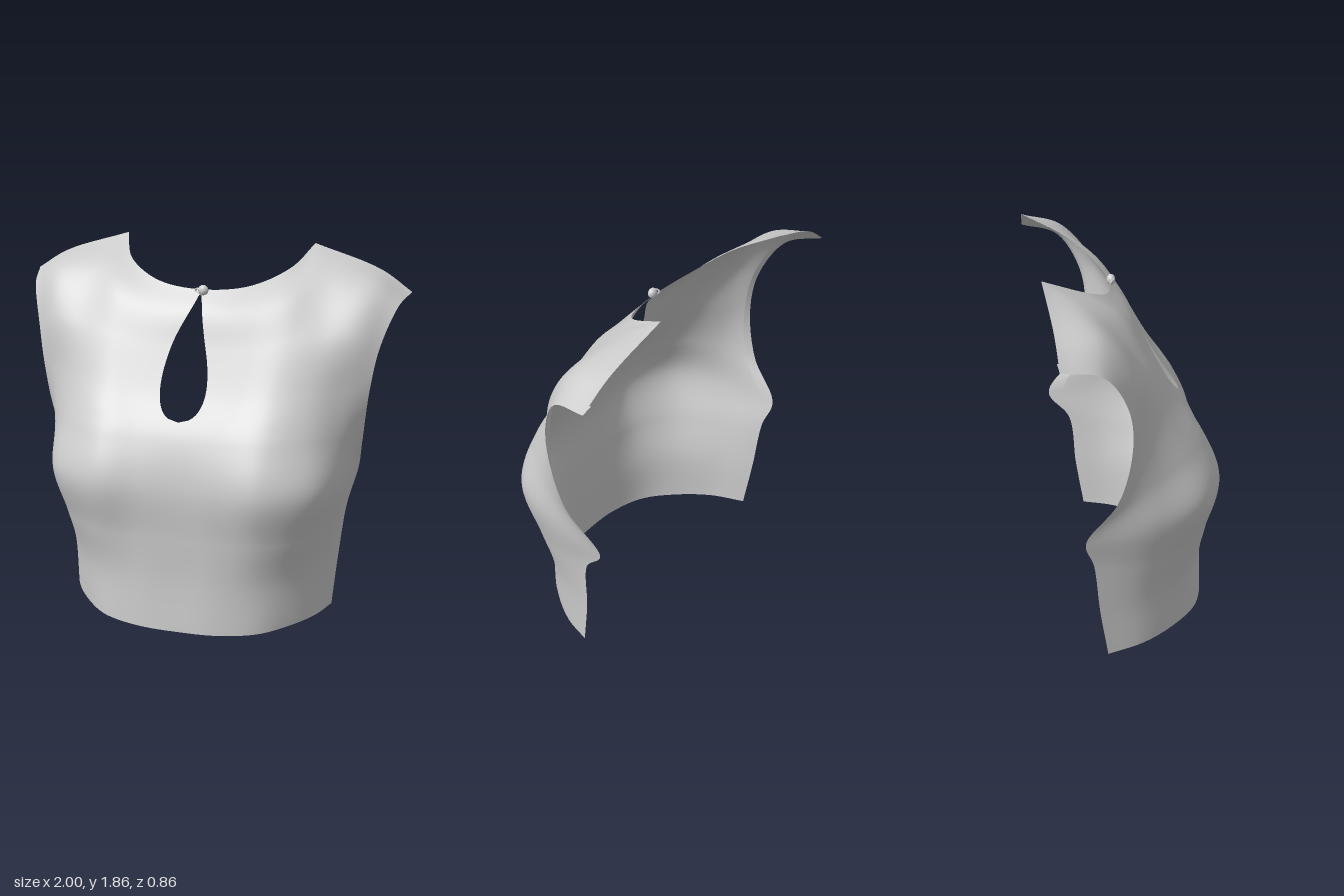
import * as THREE from 'three';
import { mergeVertices } from 'three/addons/utils/BufferGeometryUtils.js';

const V = (x, y, z) => new THREE.Vector3(x, y, z);
const { smoothstep } = THREE.MathUtils;

// Guide lines running hem to top, from the centre front out to the side edge
const centre = [[0, 0, .405], [0, .27, .39], [0, .5, .395], [0, .77, .4], [0, 1, .335],
  [0, 1.2, .205], [0, 1.4, .1], [0, 1.56, .025], [0, 1.66, -.06]];
const inner = [[.2, 0, .392], [.2, .27, .383], [.2, .5, .393], [.2, .77, .41], [.2, 1, .335],
  [.22, 1.2, .205], [.25, 1.41, .09], [.26, 1.57, .003], [.23, 1.68, -.1]];
const bust = [[.39, 0, .325], [.39, .27, .325], [.41, .5, .365], [.41, .77, .422], [.42, 1, .335],
  [.42, 1.22, .19], [.44, 1.45, .06], [.44, 1.63, -.06], [.41, 1.755, -.22]];
const outer = [[.525, 0, .2], [.55, .27, .2], [.595, .5, .245], [.645, .77, .295], [.61, 1, .23],
  [.595, 1.23, .125], [.61, 1.48, .005], [.59, 1.7, -.175], [.5, 1.85, -.425]];
const flank = [[.64, 0, .04], [.66, .27, .03], [.7, .5, .045], [.75, .75, .06], [.74, .97, .06],
  [.745, 1.22, .015], [.785, 1.48, -.04], [.825, 1.685, -.2], [.84, 1.738, -.405]];
const edge = [[.7, 0, -.11], [.72, .27, -.15], [.75, .55, -.18], [.785, .7, -.29], [.82, .92, -.125],
  [.85, 1.2, -.065], [.885, 1.41, -.09], [.95, 1.59, -.205], [1, 1.635, -.39]];
const guides = [centre, inner, bust, outer, flank, edge];

// The right half is slightly fuller and its edge sits further back
function mirrored(points, s) {
  return points.map(([x, y, z]) => [
    -x * (1 + .05 * (1 - y / 1.66)),
    y + .02 * s * smoothstep(y, 1.55, 1.65),
    z - (y < .6 ? .07 : y > .8 ? .02 : 0) * s ** 4,
  ]);
}

// Half width of the teardrop opening at a height
function keyhole(y) {
  const u = (y - 1.08) / .58;
  return u > 0 && u < 1 ? .295 * u ** .42 * (1 - u) ** 1.2 : 0;
}

// Cross-section through 11 guide points; towards the top the shoulders
// separate from the neckline, which leaves a crisp corner between them
function crossSection(points, t) {
  const curve = p => new THREE.CatmullRomCurve3(p);
  const whole = curve(points), neck = curve(points.slice(2, 9));
  const right = curve(points.slice(0, 3)), left = curve(points.slice(8));
  const split = smoothstep(t, .88, 1);
  return s => {
    const u = (s + 1) * 5;
    const sharp = u < 2 ? right.getPoint(u / 2)
      : u > 8 ? left.getPoint((u - 8) / 2) : neck.getPoint((u - 2) / 6);
    return whole.getPoint(u / 10).lerp(sharp, split);
  };
}

// Surface from equal rows of points
function sheet(rows) {
  const n = rows[0].length, index = [];
  for (let i = 0; i < rows.length - 1; i++)
    for (let j = 0; j < n - 1; j++) {
      if (rows[i][j].seam && rows[i][j + 1].seam) continue; // centre opening
      const a = i * n + j, b = a + n;
      index.push(a, a + 1, b + 1, a, b + 1, b);
    }
  let g = new THREE.BufferGeometry().setFromPoints(rows.flat());
  g.setIndex(index);
  g = mergeVertices(g, 1e-5);
  g.computeVertexNormals();
  return g;
}

function bodiceRows() {
  const columns = [
    ...guides.slice(1).map((p, k) => mirrored(p, (k + 1) / 5)).reverse(), ...guides,
  ].map(p => new THREE.CatmullRomCurve3(p.map(q => V(...q))));
  const ROWS = 128, HALF = 40, rows = [];
  for (let i = 0; i <= ROWS; i++) {
    const t = i / ROWS, section = crossSection(columns.map(c => c.getPoint(t)), t);
    const row = [];
    for (const side of [-1, 1])
      for (let k = 0; k <= HALF; k++) {
        const s = side < 0 ? 1 - k / HALF : k / HALF;
        const p = section(side * s);
        const fade = Math.max(0, 1 - s / .6) ** 2;
        const drift = .025 * smoothstep(p.y, .7, 1.08) * (1 - smoothstep(p.y, 1.4, 1.66));
        p.x += (side * keyhole(p.y) - drift) * fade;
        p.seam = s === 0;
        row.push(p);
      }
    rows.push(row);
  }
  return rows;
}

export function createModel() {
  const group = new THREE.Group();
  const cloth = new THREE.MeshStandardMaterial({ color: 0xcccccc, side: THREE.DoubleSide });
  const add = (name, geometry) => {
    const m = new THREE.Mesh(geometry, cloth);
    m.name = name;
    group.add(m);
    return m;
  };

  // Main cloth panel
  const rows = bodiceRows();
  add('bodiceFront', sheet(rows));

  // Narrow facings folded flat against the inside of the armholes
  for (const side of [-1, 1]) {
    const strip = rows.map(r => {
      const rim = r.at(side < 0 ? 0 : -1), inside = r.at(side < 0 ? 2 : -3);
      const turned = V(inside.x - side * .005, inside.y - .002, inside.z - .006);
      return side > 0 ? [turned, rim] : [rim, turned];
    }).filter(pair => pair[side > 0 ? 1 : 0].y > .71);
    add(side > 0 ? 'leftArmholeFacing' : 'rightArmholeFacing', sheet(strip));
  }

  // Button and loop closing the neckline
  const button = add('neckButton', new THREE.SphereGeometry(.026, 20, 14));
  button.position.set(.012, 1.66, -.045);
  button.scale.z = .8;
  const loop = new THREE.CatmullRomCurve3([V(-.03, 1.655, -.055), V(-.012, 1.668, -.035),
    V(.012, 1.65, -.03), V(0, 1.638, -.042)], true);
  add('buttonLoop', new THREE.TubeGeometry(loop, 32, .005, 8, true));
  return group;
}
